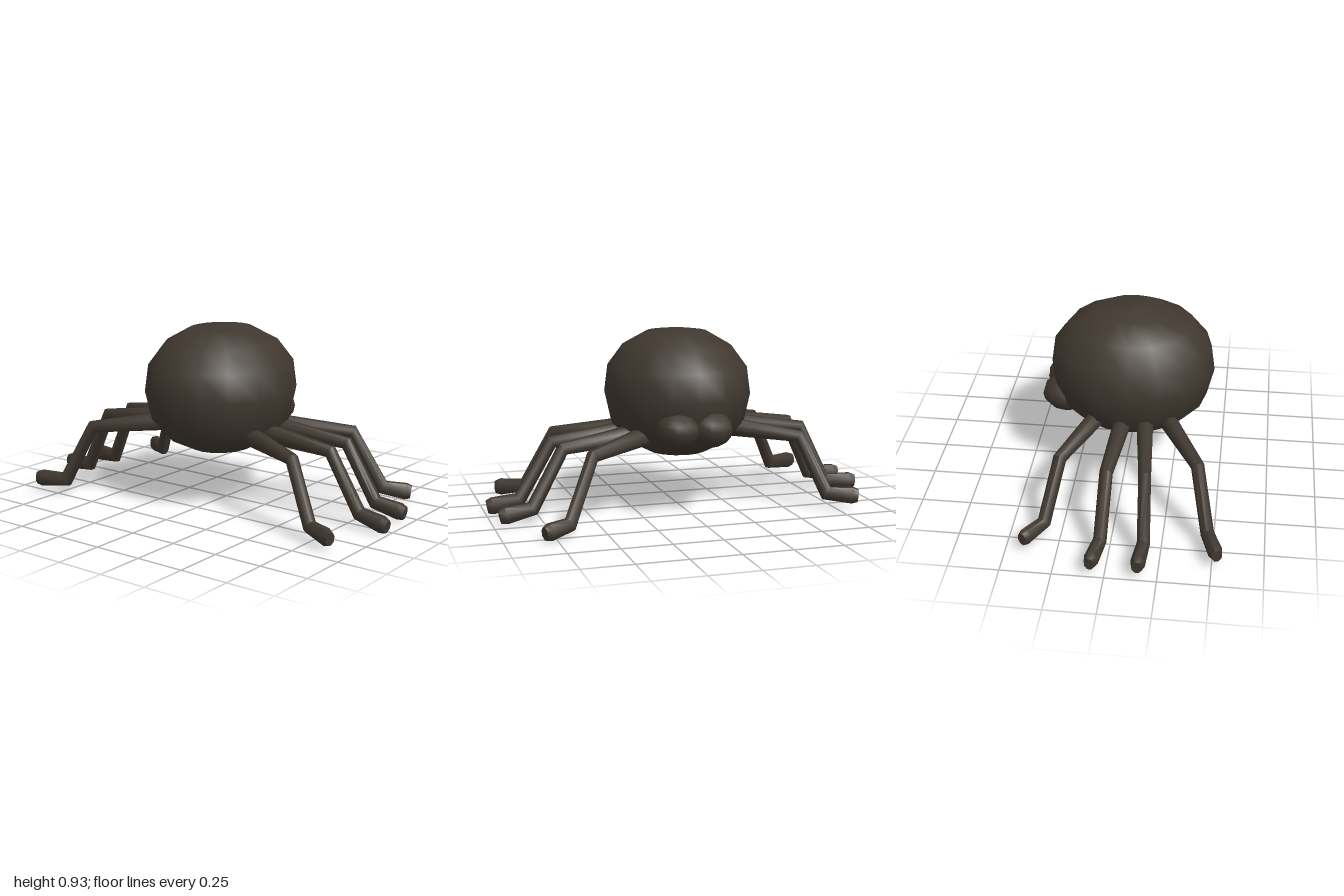
import * as THREE from 'three';
import { toCreasedNormals } from 'three/addons/utils/BufferGeometryUtils.js';

const UP = new THREE.Vector3(0, 1, 0);

// Eight-sided limb through the given centres, mitred at each joint and capped at the tip
function limbGeometry(centres, radii, sides = 8) {
  const pts = centres.map((p) => new THREE.Vector3(...p));
  const last = pts.length - 1;
  const pos = [];
  const index = [];
  pts.forEach((p, i) => {
    const before = pts[i].clone().sub(pts[Math.max(i - 1, 0)]).normalize();
    const after = pts[Math.min(i + 1, last)].clone().sub(p).normalize();
    const t = before.clone().add(after).normalize();
    const mitre = i > 0 && i < last ? 1 / Math.max(t.dot(after), 0.7) : 1;
    const s = UP.clone().cross(t).normalize();
    const u = t.clone().cross(s);
    for (let j = 0; j < sides; j++) {
      const a = ((j + 0.5) / sides) * Math.PI * 2;
      const [w, h] = radii[i];
      const v = p.clone().addScaledVector(s, Math.cos(a) * w).addScaledVector(u, Math.sin(a) * h * mitre);
      pos.push(v.x, v.y, v.z);
    }
  });
  for (let i = 0; i < last; i++) {
    for (let j = 0; j < sides; j++) {
      const a = i * sides + j;
      const b = i * sides + ((j + 1) % sides);
      index.push(a, b, b + sides, a, b + sides, a + sides);
    }
  }
  for (let j = 1; j < sides - 1; j++) {
    index.push(last * sides, last * sides + j, last * sides + j + 1);
    index.push(0, j + 1, j);
  }
  const geo = new THREE.BufferGeometry();
  geo.setAttribute('position', new THREE.Float32BufferAttribute(pos, 3));
  geo.setIndex(index);
  return toCreasedNormals(geo, 0.87);
}

export function createModel() {
  const group = new THREE.Group();
  const brown = new THREE.MeshStandardMaterial({ color: 0x403830 });
  brown.name = 'dark brown';

  const add = (name, geo) => {
    const mesh = new THREE.Mesh(geo, brown);
    mesh.name = name;
    group.add(mesh);
    return mesh;
  };

  // Plump body, slightly longer than wide
  const profile = [
    [0, 0.28], [0.15, 0.295], [0.265, 0.355], [0.345, 0.45], [0.378, 0.6],
    [0.36, 0.74], [0.28, 0.85], [0.157, 0.92], [0, 0.94],
  ].map(([r, y]) => new THREE.Vector2(r, y));
  const body = add('body', new THREE.LatheGeometry(profile, 16));
  body.scale.z = 1.11;
  body.position.set(-0.008, 0, 0.03);

  // Pair of small bumps low on the back
  for (const x of [-0.085, 0.09]) {
    const bump = add('bump', new THREE.SphereGeometry(1, 10, 8));
    bump.scale.set(0.11, 0.095, 0.13);
    bump.position.set(x, 0.46, -0.3);
  }

  // Legs: hip, knee, ankle and tip centres
  const legs = [
    ['leftLeg1', [0.26, 0.41, 0.15], [0.6, 0.375, 0.28], [0.745, 0.085, 0.34], [0.895, 0.07, 0.4]],
    ['leftLeg2', [0.28, 0.41, 0.045], [0.66, 0.37, 0.033], [0.83, 0.085, 0.03], [0.995, 0.052, 0.043]],
    ['leftLeg3', [0.28, 0.41, -0.09], [0.64, 0.37, -0.155], [0.8, 0.085, -0.178], [0.965, 0.055, -0.185]],
    ['leftLeg4', [0.23, 0.41, -0.16], [0.54, 0.37, -0.375], [0.675, 0.07, -0.47], [0.81, 0.05, -0.535]],
    ['rightLeg1', [-0.25, 0.43, 0.23], [-0.57, 0.385, 0.405], [-0.71, 0.09, 0.47], [-0.87, 0.085, 0.525]],
    ['rightLeg2', [-0.28, 0.43, 0.12], [-0.68, 0.39, 0.16], [-0.82, 0.09, 0.17], [-0.99, 0.08, 0.155]],
    ['rightLeg3', [-0.28, 0.43, 0.01], [-0.68, 0.39, -0.025], [-0.82, 0.09, -0.04], [-0.99, 0.08, -0.07]],
    ['rightLeg4', [-0.25, 0.43, -0.12], [-0.58, 0.385, -0.265], [-0.71, 0.09, -0.33], [-0.85, 0.085, -0.415]],
  ];
  const radii = [[0.045, 0.05], [0.033, 0.031], [0.033, 0.035], [0.036, 0.045], [0.026, 0.035]];
  for (const [name, hip, knee, ankle, tip] of legs) {
    // Foot swells just before its blunt end
    const toe = ankle.map((v, k) => v + (tip[k] - v) * 0.82);
    add(name, limbGeometry([hip, knee, ankle, toe, tip], radii));
  }
  return group;
}
